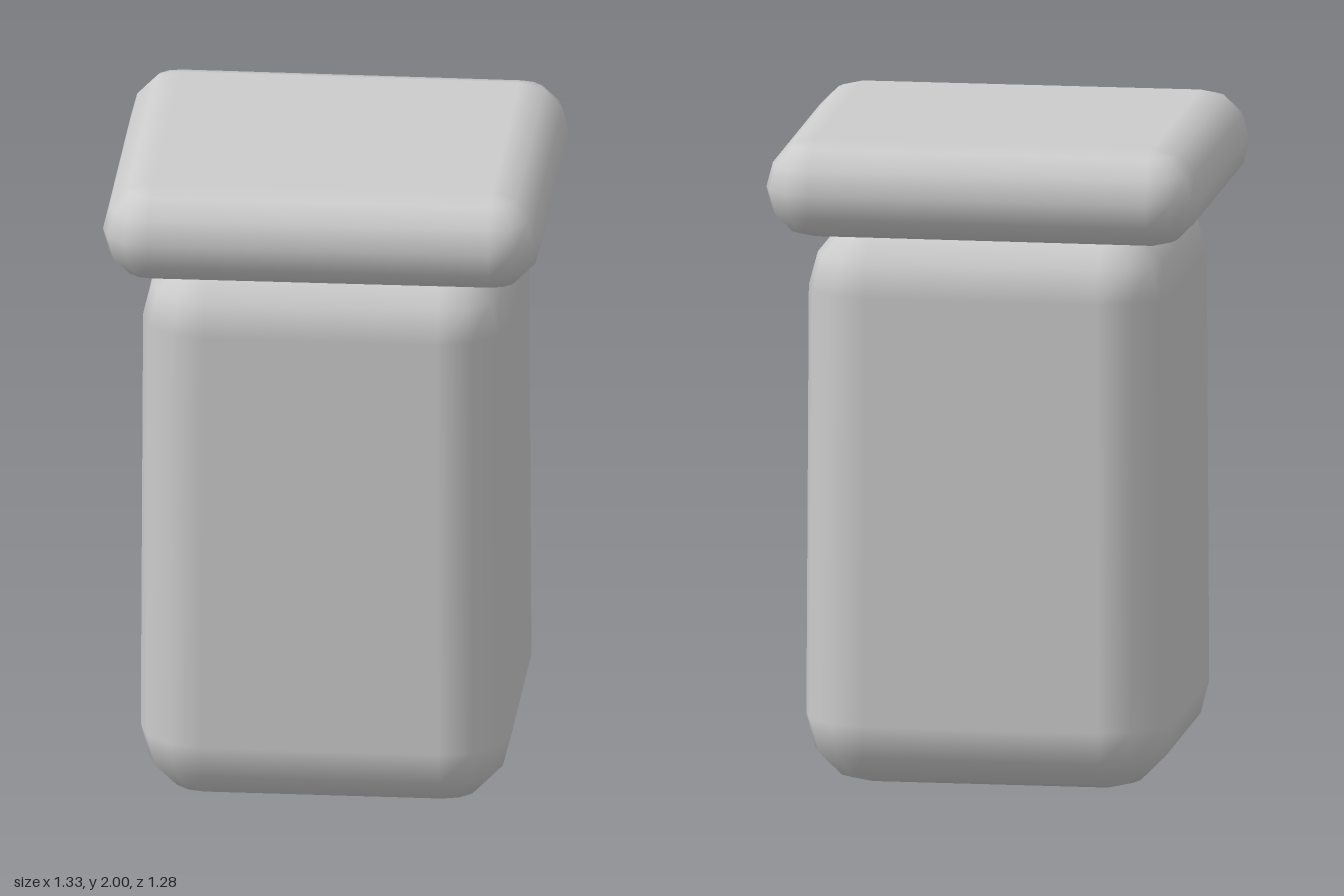
import * as THREE from 'three';

const STEPS = 3; // facets per rounded quarter

// Rounded box built from stacked rounded-rectangle rings; halfX/halfZ are outer sizes.
function roundedBlock(halfX, halfZ, y0, y1, r, adjust) {
  const pos = [], nor = [], idx = [];
  const cols = 4 * (STEPS + 1);
  const rows = 2 * (STEPS + 1);
  for (let j = 0; j < rows; j++) {
    const upper = j > STEPS;
    const lat = ((upper ? j - STEPS - 1 : j - STEPS) / STEPS) * Math.PI / 2;
    const cy = upper ? y1 - r : y0 + r;
    for (let i = 0; i < cols; i++) {
      const q = Math.floor(i / (STEPS + 1));
      const a = (q + (i % (STEPS + 1)) / STEPS) * Math.PI / 2;
      const sx = q === 0 || q === 3 ? 1 : -1;
      const sz = q < 2 ? 1 : -1;
      const n = new THREE.Vector3(Math.cos(lat) * Math.cos(a), Math.sin(lat), Math.cos(lat) * Math.sin(a));
      const p = new THREE.Vector3(sx * (halfX - r) + n.x * r, cy + n.y * r, sz * (halfZ - r) + n.z * r);
      adjust(p);
      pos.push(p.x, p.y, p.z);
      nor.push(n.x, n.y, n.z);
    }
  }
  for (let j = 0; j < rows - 1; j++) {
    for (let i = 0; i < cols; i++) {
      const k = (i + 1) % cols;
      const a = j * cols + i, b = j * cols + k, c = a + cols, d = b + cols;
      idx.push(a, c, b, b, c, d);
    }
  }
  // Flat bottom and top
  const s = STEPS + 1, t = (rows - 1) * cols;
  idx.push(0, s, 2 * s, 0, 2 * s, 3 * s);
  idx.push(t, t + 2 * s, t + s, t, t + 3 * s, t + 2 * s);
  const g = new THREE.BufferGeometry();
  g.setAttribute('position', new THREE.Float32BufferAttribute(pos, 3));
  g.setAttribute('normal', new THREE.Float32BufferAttribute(nor, 3));
  g.setIndex(idx);
  return g;
}

export function createModel() {
  const group = new THREE.Group();
  const grey = new THREE.MeshStandardMaterial({ color: 0xcccccc });
  grey.name = 'light grey';

  // Body, narrowing slightly upwards
  const body = new THREE.Mesh(roundedBlock(0.565, 0.558, 0, 1.73, 0.205, p => {
    const k = 1 - 0.009 * p.y;
    p.x *= k;
    p.z *= k;
  }), grey);
  body.name = 'body';

  // Cushion-edged lid, a touch shallower towards +x
  const lid = new THREE.Mesh(roundedBlock(0.667, 0.635, 1.7, 2, 0.15, p => {
    p.z *= 1 - 0.012 * p.x;
  }), grey);
  lid.name = 'lid';

  group.add(body, lid);
  return group;
}
